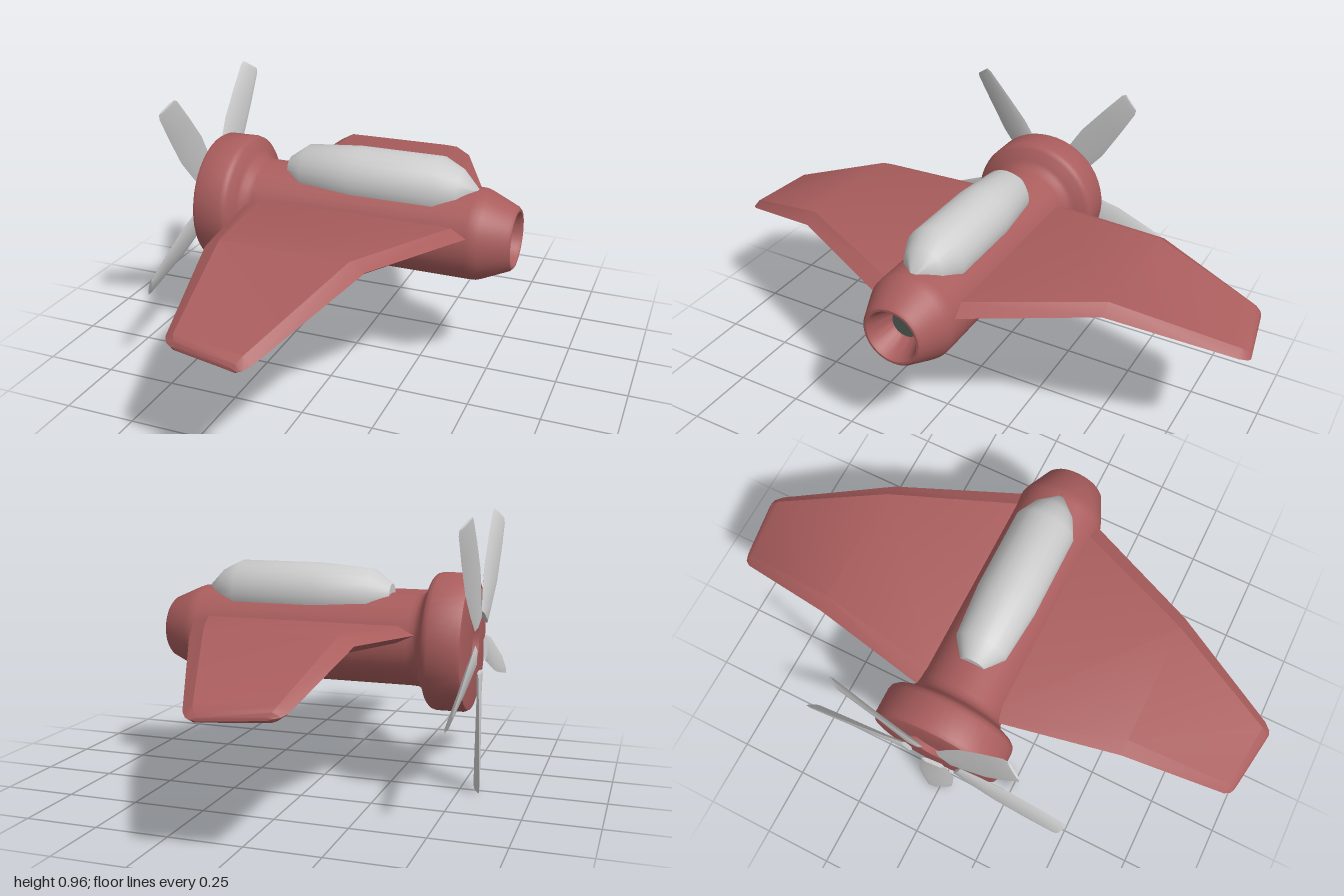
import * as THREE from 'three';
import { toCreasedNormals } from 'three/addons/utils/BufferGeometryUtils.js';

const AXIS_Y = 0.52;
const red = new THREE.MeshStandardMaterial({ color: 0xaa5d5d });
const grey = new THREE.MeshStandardMaterial({ color: 0xcccccc });
const dark = new THREE.MeshStandardMaterial({ color: 0x505a54 });

function part(name, geometry, material) {
  const mesh = new THREE.Mesh(geometry, material);
  mesh.name = name;
  return mesh;
}

// Turned shape along x from [x, radius] pairs, running from nose to tail
function turned(profile, segments, crease) {
  const pts = profile.map(([x, r]) => new THREE.Vector2(r, x));
  const geo = new THREE.LatheGeometry(pts, segments).rotateZ(-Math.PI / 2);
  return toCreasedNormals(geo, crease);
}

// Skin over equal-length rings of [x, y, z], capped at both ends, always facing outward
function loft(rings, crease) {
  const n = rings[0].length;
  const pts = rings.flat().map((p) => new THREE.Vector3(...p));
  const tris = [];
  for (let k = 0; k < rings.length - 1; k++) {
    for (let i = 0; i < n; i++) {
      const a = k * n + i, b = k * n + (i + 1) % n;
      tris.push([a, b, b + n], [a, b + n, a + n]);
    }
  }
  const last = (rings.length - 1) * n;
  for (let i = 1; i < n - 1; i++) {
    tris.push([0, i + 1, i], [last, last + i, last + i + 1]);
  }
  // The signed volume tells whether the winding has to be flipped
  let volume = 0;
  for (const [a, b, c] of tris) volume += pts[a].dot(pts[b].clone().cross(pts[c]));
  const index = tris.flatMap(([a, b, c]) => (volume < 0 ? [a, c, b] : [a, b, c]));
  const geo = new THREE.BufferGeometry().setFromPoints(pts);
  geo.setIndex(index);
  return toCreasedNormals(geo, crease);
}

// Wing: bevelled six-sided sections from root to tip, side is +1 or -1 in z
function wingGeometry(side) {
  // [z, leading x, trailing x, y, half thickness, bevel, extra z at the trailing edge]
  const stations = [
    [0.05, -0.385, 0.49, 0.553, 0.028, 0.06, 0],
    [0.15, -0.365, 0.445, 0.56, 0.028, 0.06, 0],
    [0.57, -0.288, 0.25, 0.592, 0.028, 0.05, 0],
    [0.935, -0.222, 0.075, 0.472, 0.021, 0.03, 0.035],
    [0.955, -0.208, 0.055, 0.464, 0.014, 0.025, 0.04],
    [0.963, -0.19, 0.04, 0.46, 0.005, 0.02, 0.037],
  ];
  return loft(stations.map(([z, x0, x1, y, t, c, slant]) => {
    const corners = [[x0, 0], [x0 + c, t], [x1 - c, t], [x1, 0], [x1 - c, -t], [x0 + c, -t]];
    return corners.map(([x, dy]) => {
      const dz = slant * (x - x0) / (x1 - x0);
      return [x, y + dy - dz * 0.31, side * (z + dz)];
    });
  }), 0.45);
}

// Propeller blade pointing down, pitched more towards the tip
function bladeGeometry() {
  // [radius, half width, half thickness, pitch offset in x at the edge]
  const stations = [
    [0.1, 0.045, 0.007, 0.003],
    [0.18, 0.055, 0.008, 0.009],
    [0.28, 0.062, 0.008, 0.014],
    [0.4, 0.052, 0.007, 0.016],
    [0.505, 0.041, 0.006, 0.016],
    [0.52, 0.033, 0.004, 0.014],
  ];
  return loft(stations.map(([r, w, t, p]) => [
    [-p, -r, -w], [t - p * 0.6, -r, -w * 0.6], [t + p * 0.6, -r, w * 0.6],
    [p, -r, w], [-t + p * 0.6, -r, w * 0.6], [-t - p * 0.6, -r, -w * 0.6],
  ]), 0.5);
}

export function createModel() {
  const model = new THREE.Group();
  model.name = 'propellerPlane';

  // Fuselage with cowling, shallow nose recess and hollow tail
  const fuselage = part('fuselage', turned([
    [-0.515, 0], [-0.515, 0.085], [-0.535, 0.1], [-0.535, 0.215], [-0.531, 0.229], [-0.518, 0.236],
    [-0.425, 0.237], [-0.41, 0.233], [-0.4, 0.222], [-0.385, 0.186], [-0.375, 0.17],
    [-0.36, 0.161], [-0.34, 0.159], [0.44, 0.159], [0.46, 0.158], [0.48, 0.151],
    [0.57, 0.111], [0.579, 0.102], [0.579, 0.094], [0.568, 0.086], [0.5, 0.06], [0.49, 0.052], [0.49, 0],
  ], 48, 0.6), red);
  fuselage.position.y = AXIS_Y;
  model.add(fuselage);

  // Exhaust plug inside the tail
  const exhaust = part('exhaust', new THREE.CylinderGeometry(0.05, 0.05, 0.02, 32).rotateZ(Math.PI / 2), dark);
  exhaust.position.set(0.485, AXIS_Y, 0);
  model.add(exhaust);

  // Canopy
  const canopy = part('canopy', turned([
    [-0.247, 0], [-0.247, 0.045], [-0.18, 0.094], [0.01, 0.11], [0.31, 0.11],
    [0.38, 0.075], [0.44, 0.015], [0.442, 0],
  ], 24, 0.75), grey);
  canopy.position.y = 0.666;
  model.add(canopy);

  // Wings, mirrored across the fuselage
  model.add(part('wingFront', wingGeometry(1), red));
  model.add(part('wingBack', wingGeometry(-1), red));

  // Five-bladed propeller
  const propeller = new THREE.Group();
  propeller.name = 'propeller';
  propeller.position.set(-0.558, AXIS_Y, 0);
  const blade = bladeGeometry();
  for (let i = 0; i < 5; i++) {
    const mesh = part('blade', blade, grey);
    mesh.rotation.x = (i * Math.PI * 2) / 5;
    propeller.add(mesh);
  }
  model.add(propeller);

  return model;
}
